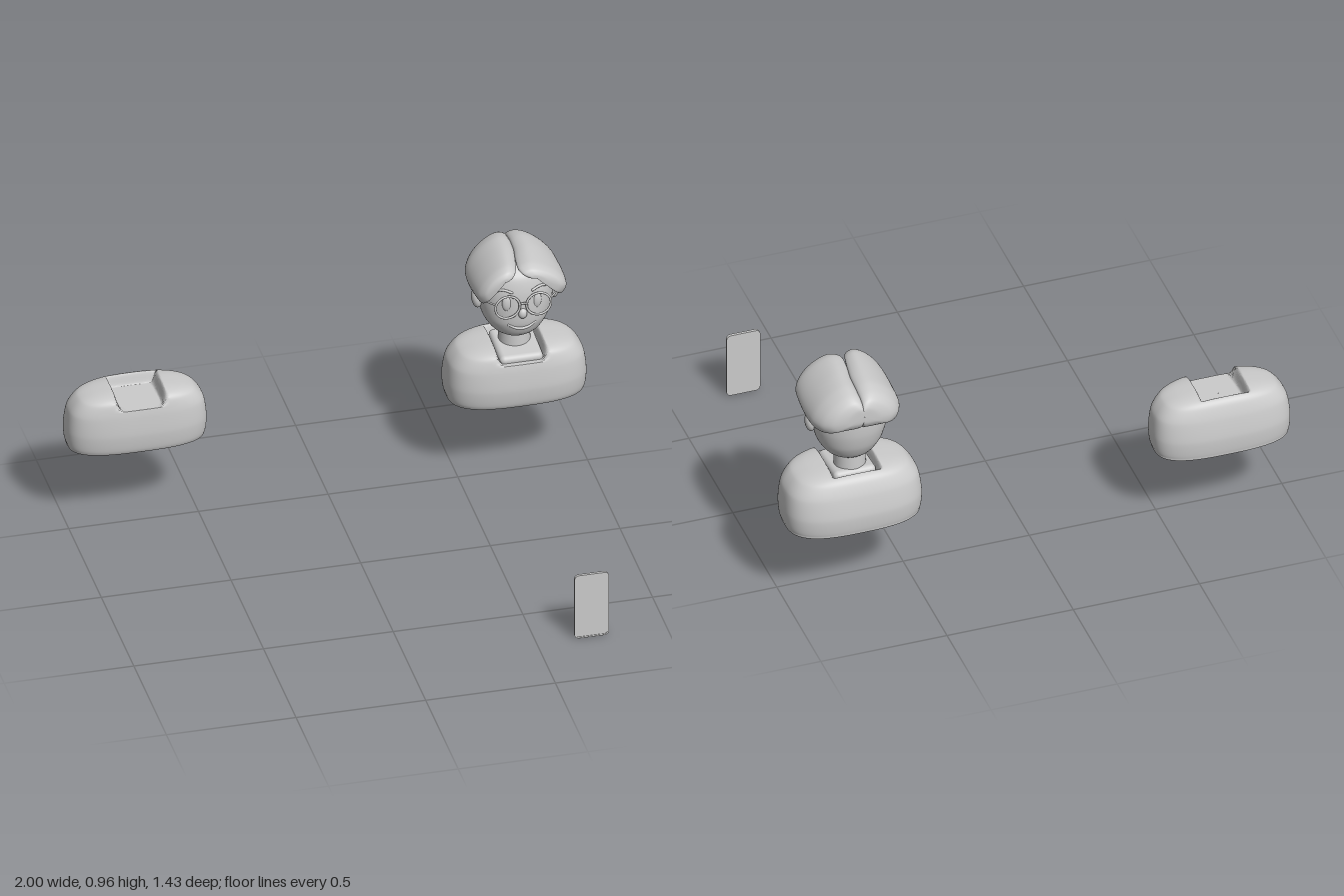
import * as THREE from 'three';
import { RoundedBoxGeometry } from 'three/addons/geometries/RoundedBoxGeometry.js';

const V = (x, y, z) => new THREE.Vector3(x, y, z);
const mat = new THREE.MeshStandardMaterial({ color: 0xcccccc, side: THREE.DoubleSide });

function add(group, name, geo, x = 0, y = 0, z = 0) {
  const m = new THREE.Mesh(geo, mat);
  m.name = name;
  m.position.set(x, y, z);
  group.add(m);
  return m;
}

// Skin over closed rings of equal length
function skin(rings) {
  const n = rings[0].length, index = [];
  for (let i = 0; i < rings.length - 1; i++) {
    for (let j = 0; j < n; j++) {
      const k = (j + 1) % n, a = i * n, b = a + n;
      index.push(a + j, b + j, a + k, b + j, b + k, a + k);
    }
  }
  const g = new THREE.BufferGeometry().setFromPoints(rings.flat());
  g.setIndex(index);
  g.computeVertexNormals();
  return g;
}

// Smooth stack of superellipses; levels are [halfWidth, y, zCentre, halfDepth]
function loft(levels, power, steps, sides, edit = (p) => p) {
  const curve = (k) => new THREE.CatmullRomCurve3(levels.map((l) => V(l[k], l[1], l[2])), false, 'catmullrom', 0.4);
  const wide = curve(0), deep = curve(3), rings = [];
  const bend = (c) => Math.sign(c) * Math.abs(c) ** (2 / power);
  for (let i = 0; i <= steps; i++) {
    const w = wide.getPoint(i / steps), d = deep.getPoint(i / steps), ring = [];
    for (let j = 0; j < sides; j++) {
      const a = (j / sides) * Math.PI * 2;
      ring.push(edit(V(bend(Math.cos(a)) * w.x, w.y, w.z + bend(Math.sin(a)) * d.x)));
    }
    rings.push(ring);
  }
  return skin(rings);
}

// Shoulders with a neckline scooped out towards the front
function bodyGeometry(depth) {
  const levels = [
    [0.001, 0.325, -0.01, 0.001], [0.235, 0.325, -0.01, 0.13], [0.264, 0.342, -0.005, 0.152],
    [0.27, 0.41, -0.002, 0.16], [0.258, 0.49, 0.003, 0.15], [0.222, 0.54, 0.008, 0.134],
    [0.17, 0.56, 0.01, 0.115], [0.09, 0.571, 0.01, 0.07], [0.001, 0.572, 0.01, 0.001],
  ];
  return loft(levels, 2.9, 120, 96, (p) => {
    p.z *= depth;
    const floor = 0.518;
    if (p.y > floor) {
      const side = THREE.MathUtils.smoothstep(Math.abs(p.x), 0.082, 0.097);
      const back = 1 - THREE.MathUtils.smoothstep(p.z, -0.096 * depth, -0.075 * depth);
      p.y = THREE.MathUtils.lerp(floor, p.y, Math.max(side, back));
    }
    return p;
  });
}

// One half of the hair: sections stacked from the brow to the back of the head
function hairGeometry(s) {
  const outer = [[0, 0.938], [0.035, 0.958], [0.075, 0.95], [0.13, 0.912], [0.168, 0.862], [0.178, 0.82], [0.158, 0.785]];
  const inner = [[0.135, 0.81], [0.115, 0.855], [0.075, 0.893], [0.02, 0.91]];
  const solid = [[0.115, 0.782], [0.075, 0.782], [0.035, 0.782], [0.003, 0.79]];
  // z, scale, how solid the underside is, lift of the lower edge
  const stations = [
    [-0.374, 0.02, 0, 0.02], [-0.376, 0.35, 0, 0.02], [-0.388, 0.72, 0, 0.015], [-0.42, 0.93, 0, 0.01],
    [-0.48, 0.99, 0.05, 0.008], [-0.55, 1, 0.3, 0], [-0.62, 0.97, 0.8, 0],
    [-0.67, 0.85, 1, 0], [-0.7, 0.66, 1, 0], [-0.714, 0.38, 1, 0], [-0.716, 0.02, 1, 0],
  ];
  const rings = stations.map(([z, k, fill, lift]) => {
    const front = THREE.MathUtils.smoothstep(z, -0.6, -0.38);
    const cy = 0.87 + 0.035 * front, cx = 0.06 * front;
    const pts = outer.concat(inner.map((p, i) => [
      THREE.MathUtils.lerp(p[0], solid[i][0], fill), THREE.MathUtils.lerp(p[1], solid[i][1], fill),
    ])).map(([x, y]) => {
      const px = cx + (x - cx) * k, py = cy + (y - cy) * k;
      return V(px * s - 0.025 * front * (1 - px / 0.18), py + lift * Math.max(0, (0.94 - py) / 0.15), z);
    });
    if (s > 0) pts.reverse();
    return new THREE.CatmullRomCurve3(pts, true).getPoints(44).slice(0, 44);
  });
  // Smooth the stations lengthwise
  const tracks = rings[0].map((_, j) => new THREE.CatmullRomCurve3(rings.map((r) => r[j]), false, 'catmullrom', 0.4));
  return skin(Array.from({ length: 51 }, (_, i) => tracks.map((t) => t.getPoint(i / 50))));
}

function blob(group, name, x, y, z, rx, ry, rz) {
  const m = add(group, name, new THREE.SphereGeometry(1, 28, 20), x, y, z);
  m.scale.set(rx, ry, rz);
  return m;
}

function tube(group, name, pts, r) {
  const path = new THREE.CatmullRomCurve3(pts);
  add(group, name, new THREE.TubeGeometry(path, 24, r, 8));
  for (const p of [pts[0], pts[pts.length - 1]]) blob(group, name + 'End', p.x, p.y, p.z, r, r, r);
}

function createPerson() {
  const g = new THREE.Group();
  g.name = 'person';
  g.position.x = 0.73;
  add(g, 'shoulders', bodyGeometry(1), 0, 0, -0.552);

  // Neck and upper chest filling the neckline
  add(g, 'neck', new THREE.CylinderGeometry(0.058, 0.062, 0.13, 40), 0, 0.585, -0.552);
  const chest = add(g, 'chest', new RoundedBoxGeometry(0.168, 0.045, 0.2, 5, 0.02), 0, 0.53, -0.525);
  chest.rotation.x = 0.1;

  add(g, 'head', loft([
    [0.001, 0.594, -0.535, 0.001], [0.05, 0.602, -0.536, 0.055], [0.092, 0.63, -0.538, 0.092],
    [0.124, 0.68, -0.541, 0.116], [0.141, 0.745, -0.546, 0.126], [0.146, 0.82, -0.549, 0.126],
    [0.125, 0.88, -0.55, 0.11], [0.07, 0.92, -0.55, 0.06], [0.001, 0.93, -0.55, 0.001],
  ], 2.1, 64, 56), 0, 0, 0);

  for (const s of [-1, 1]) {
    add(g, s > 0 ? 'leftHair' : 'rightHair', hairGeometry(s));
    const ear = blob(g, 'ear', s * 0.15, 0.76, -0.532, 0.02, 0.042, 0.023);
    ear.rotation.z = -s * 0.12;
    blob(g, 'eye', s * 0.057, 0.78, -0.434, 0.019, 0.034, 0.011);
    tube(g, 'eyebrow', [V(s * 0.04, 0.828, -0.426), V(s * 0.072, 0.838, -0.436), V(s * 0.1, 0.826, -0.455)], 0.005);

    // Glasses: rim and arm
    add(g, 'glassesRim', new THREE.TorusGeometry(0.047, 0.0045, 10, 48), s * 0.06, 0.775, -0.411);
    tube(g, 'glassesArm', [V(s * 0.105, 0.79, -0.413), V(s * 0.135, 0.793, -0.45), V(s * 0.15, 0.79, -0.53)], 0.0035);
  }
  tube(g, 'glassesBridge', [V(-0.015, 0.782, -0.411), V(0, 0.787, -0.407), V(0.015, 0.782, -0.411)], 0.004);
  blob(g, 'nose', 0, 0.735, -0.42, 0.017, 0.021, 0.015);
  tube(g, 'mouth', [V(-0.05, 0.683, -0.436), V(-0.027, 0.67, -0.429), V(0, 0.665, -0.427), V(0.027, 0.67, -0.429), V(0.05, 0.683, -0.436)], 0.0055);
  return g;
}

// Thin rounded slab with a raised border
function createPhone() {
  const g = new THREE.Group();
  g.name = 'phone';
  const plate = (inset, Type) => {
    const w = 0.0665 - inset, h = 0.138 - inset, r = 0.018 - inset;
    const p = new Type();
    p.moveTo(-w + r, -h);
    p.lineTo(w - r, -h);
    p.absarc(w - r, -h + r, r, -Math.PI / 2, 0);
    p.absarc(w - r, h - r, r, 0, Math.PI / 2);
    p.absarc(-w + r, h - r, r, Math.PI / 2, Math.PI);
    p.absarc(-w + r, -h + r, r, Math.PI, Math.PI * 1.5);
    return p;
  };
  const opts = (depth) => ({ depth, bevelEnabled: false, curveSegments: 8 });
  const frame = plate(0, THREE.Shape);
  frame.holes.push(plate(0.006, THREE.Path));
  add(g, 'phoneFrame', new THREE.ExtrudeGeometry(frame, opts(0.011)), 0.712, 0.138, 0.705);
  add(g, 'phoneScreen', new THREE.ExtrudeGeometry(plate(0.005, THREE.Shape), opts(0.009)), 0.712, 0.138, 0.705);
  return g;
}

export function createModel() {
  const model = new THREE.Group();
  model.name = 'personSet';
  model.add(createPerson(), createPhone());
  add(model, 'spareShoulders', bodyGeometry(0.81), -0.73, 0, -0.561);
  return model;
}
